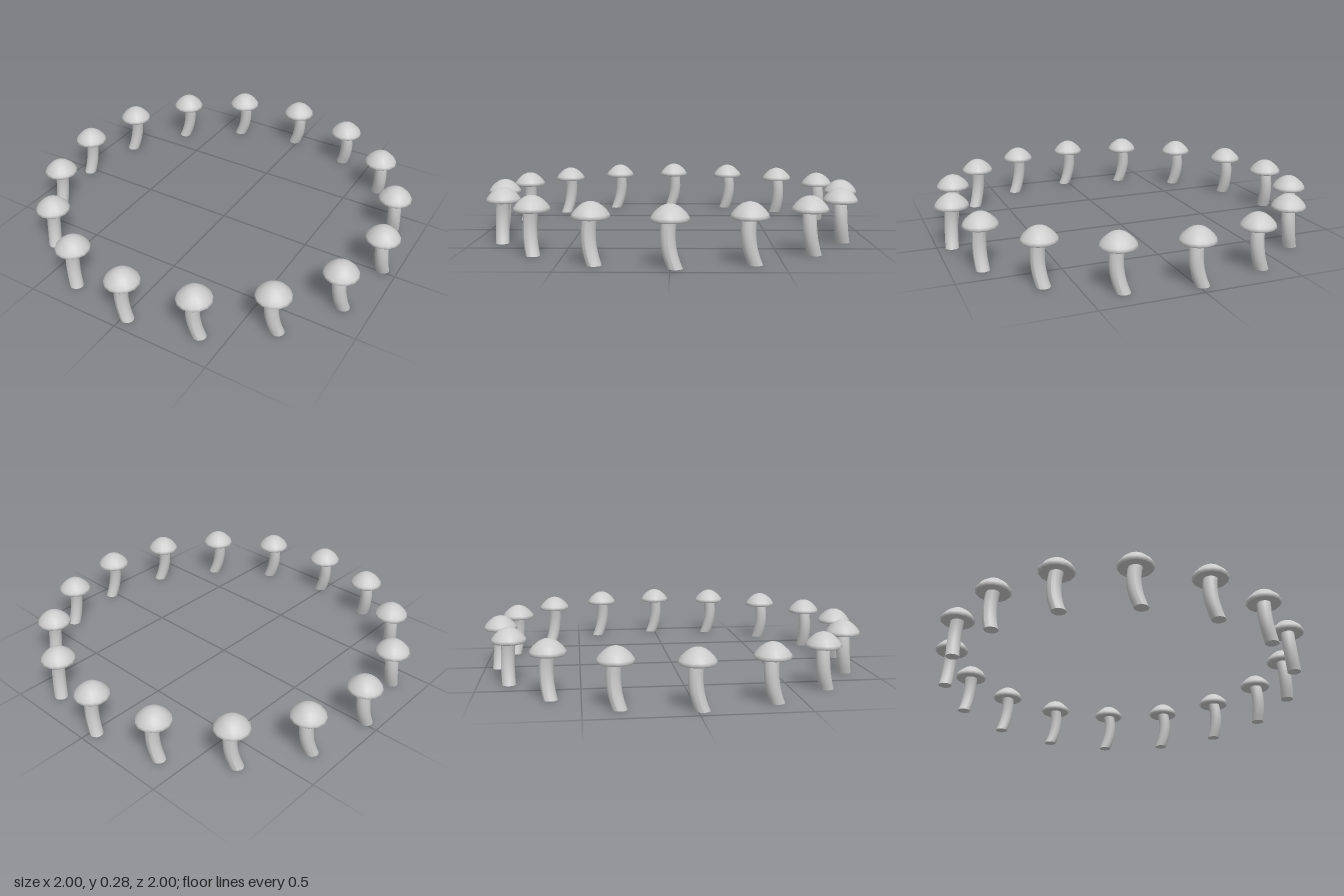
import * as THREE from 'three';

const COUNT = 16;
const RING_RADIUS = 0.912;
const STEM_HEIGHT = 0.22;

const material = new THREE.MeshStandardMaterial({ color: 0xcccccc });

const lathe = (points) =>
  new THREE.LatheGeometry(points.map(([r, y]) => new THREE.Vector2(r, y)), 14);

// Stem: a capped cylinder whose rings slide along a gentle bend
function makeStemGeometry() {
  const geometry = new THREE.CylinderGeometry(0.034, 0.034, STEM_HEIGHT, 14, 8);
  geometry.translate(0, STEM_HEIGHT / 2, 0);
  const p = geometry.attributes.position;
  for (let i = 0; i < p.count; i++) {
    const t = p.getY(i) / STEM_HEIGHT;
    p.setX(i, p.getX(i) + 0.022 - 0.098 * t + 0.076 * t * t);
    p.setZ(i, p.getZ(i) + 0.014 * (1 - t));
  }
  geometry.computeVertexNormals();
  return geometry;
}

export function createModel() {
  const ring = new THREE.Group();
  ring.name = 'mushroomRing';

  const parts = {
    stem: makeStemGeometry(),
    // Rounded dome, slightly tucked in at the rim
    capTop: lathe([
      [0.08, 0.205], [0.088, 0.213], [0.084, 0.225], [0.071, 0.243],
      [0.053, 0.26], [0.036, 0.272], [0.018, 0.279], [0, 0.281],
    ]),
    // Nearly flat underside
    capUnderside: lathe([[0, 0.211], [0.035, 0.209], [0.08, 0.205]]),
  };

  // Mushrooms stand evenly around the ring, each turned to face outward
  for (let i = 0; i < COUNT; i++) {
    const angle = (i / COUNT) * Math.PI * 2;
    const mushroom = new THREE.Group();
    mushroom.name = `mushroom${i + 1}`;
    for (const [name, geometry] of Object.entries(parts)) {
      const mesh = new THREE.Mesh(geometry, material);
      mesh.name = name;
      mushroom.add(mesh);
    }
    mushroom.position.set(Math.sin(angle) * RING_RADIUS, 0, Math.cos(angle) * RING_RADIUS);
    mushroom.rotation.y = angle;
    ring.add(mushroom);
  }
  return ring;
}
